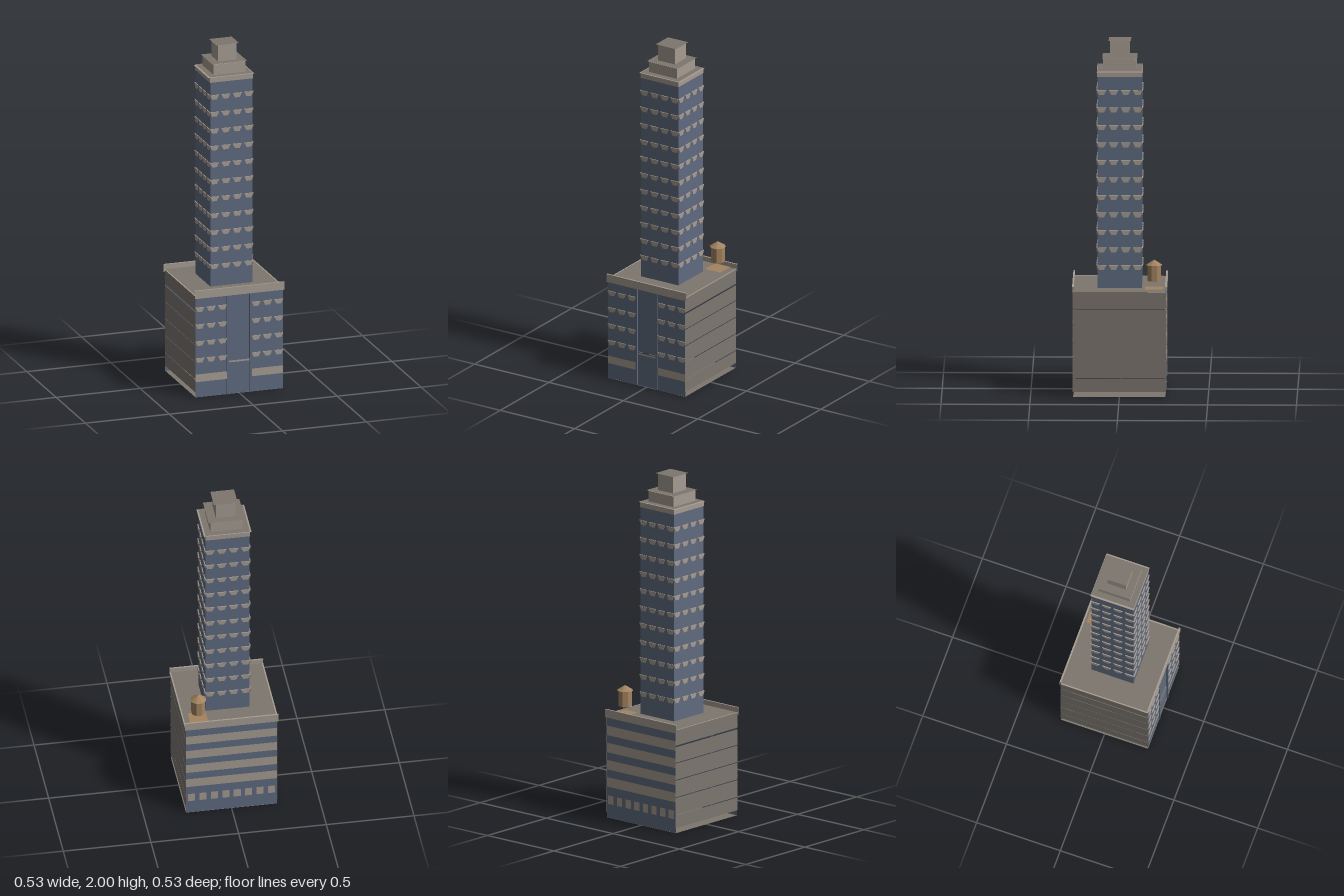
import * as THREE from 'three';

const mat = (name, color) => {
  const m = new THREE.MeshStandardMaterial({ color, side: THREE.DoubleSide });
  m.name = name;
  return m;
};

export function createModel() {
  const blue = mat('blueWall', 0x5f6b80);
  const trim = mat('paleStone', 0xa69c92);
  const gray = mat('grayStone', 0x7d766f);
  const wood = mat('tankWood', 0xa38360);
  const model = new THREE.Group();
  model.name = 'skyscraper';

  const add = (parent, name, geo, m, x = 0, y = 0, z = 0) => {
    const mesh = new THREE.Mesh(geo, m);
    mesh.name = name;
    mesh.position.set(x, y, z);
    parent.add(mesh);
    return mesh;
  };
  // upright sheet spanning x0..x1, y0..y1 at depth z
  const sheet = (parent, name, m, x0, x1, y0, y1, z) =>
    add(parent, name, new THREE.PlaneGeometry(x1 - x0, y1 - y0), m, (x0 + x1) / 2, (y0 + y1) / 2, z);
  // level sheet facing up
  const level = (parent, name, m, w, d, x, y, z) =>
    add(parent, name, new THREE.PlaneGeometry(w, d).rotateX(-Math.PI / 2), m, x, y, z);
  const side = (name, turn) => {
    const g = new THREE.Group();
    g.name = name;
    g.rotation.y = turn;
    model.add(g);
    return g;
  };

  // window hood: a shallow half-hexagon, hung from its top edge
  const hoodShape = new THREE.Shape([
    new THREE.Vector2(-0.027, 0), new THREE.Vector2(-0.014, -0.026),
    new THREE.Vector2(0.014, -0.026), new THREE.Vector2(0.027, 0),
  ]);
  const hoodGeo = new THREE.ExtrudeGeometry(hoodShape, { depth: 0.005, bevelEnabled: false });
  const hood = (parent, x, y, z) => add(parent, 'windowHood', hoodGeo, trim, x, y, z);

  // podium front
  const front = side('podiumFront', 0);
  for (const s of [-1, 1]) {
    const a = s * 0.07, b = s * 0.26;
    sheet(front, 'frontWall', blue, Math.min(a, b), Math.max(a, b), 0, 0.585, 0.258);
    sheet(front, 'frontBand', trim, Math.min(a, b), Math.max(a, b), 0.09, 0.135, 0.26);
    add(front, 'pilaster', new THREE.BoxGeometry(0.012, 0.585, 0.012), blue, s * 0.068, 0.2925, 0.258);
    for (const x of [0.1, 0.168, 0.235])
      for (let r = 0; r < 4; r++) hood(front, s * x, 0.53 - r * 0.1, 0.258);
  }
  sheet(front, 'entranceBay', blue, -0.07, 0.07, 0.2, 0.585, 0.25);
  sheet(front, 'door', blue, -0.062, 0.062, 0, 0.2, 0.256);
  sheet(front, 'doorLintel', trim, -0.062, 0.062, 0.186, 0.196, 0.259);

  // podium back with stone stripes and ground-floor blocks
  const back = side('podiumBack', Math.PI);
  sheet(back, 'backWall', blue, -0.26, 0.26, 0, 0.585, 0.258);
  for (let r = 0; r < 4; r++)
    sheet(back, 'backStripe', trim, -0.26, 0.26, 0.48 - r * 0.1, 0.535 - r * 0.1, 0.261);
  for (let i = 0; i < 8; i++) {
    const x = -0.228 + i * 0.065;
    sheet(back, 'backBlock', trim, x - 0.02, x + 0.02, 0.08, 0.13, 0.261);
  }

  // cornices over front and back
  for (const g of [front, back]) {
    sheet(g, 'cornice', trim, -0.267, 0.267, 0.583, 0.63, 0.266);
    level(g, 'corniceTop', trim, 0.534, 0.01, 0, 0.63, 0.261);
  }

  // plain podium sides in courses with narrow joints
  for (const s of [-1, 1]) {
    const g = side('podiumSide', s * Math.PI / 2);
    const joints = [0.027, 0.105, 0.207, 0.308, 0.408, 0.508, 0.602];
    for (let i = 0; i < 6; i++)
      sheet(g, 'sideCourse', gray, -0.262, 0.262, joints[i] + 0.002, joints[i + 1] - (i === 4 ? 0.007 : 0.002), 0.26);
    level(g, 'sideCoping', trim, 0.52, 0.008, 0, 0.601, 0.263);
  }
  level(model, 'floor', gray, 0.52, 0.52, 0, 0, 0);
  level(model, 'podiumRoof', gray, 0.52, 0.52, 0, 0.6, 0);
  level(model, 'roofHatch', gray, 0.038, 0.038, 0, 0.604, 0.19);

  // tower shaft with hoods on four sides
  add(model, 'towerShaft', new THREE.BoxGeometry(0.25, 1.21, 0.25), blue, 0, 1.205, 0);
  for (let k = 0; k < 4; k++) {
    const g = side('towerFace', k * Math.PI / 2);
    for (let r = 0; r < 11; r++)
      for (let c = 0; c < 4; c++) hood(g, -0.102 + c * 0.068, 1.73 - r * 0.1, 0.126);
    sheet(g, 'towerCornice', trim, -0.128, 0.128, 1.805, 1.834, 0.128);
  }
  level(model, 'towerCorniceTop', trim, 0.272, 0.258, 0, 1.834, 0);
  level(model, 'towerRoof', gray, 0.254, 0.254, 0, 1.837, 0);

  // stepped crown
  add(model, 'lowerCrown', new THREE.BoxGeometry(0.188, 0.063, 0.188), trim, 0, 1.867, 0);
  level(model, 'lowerCrownCap', gray, 0.208, 0.196, 0, 1.902, 0);
  add(model, 'upperCrown', new THREE.BoxGeometry(0.112, 0.095, 0.112), trim, 0, 1.95, 0);
  level(model, 'upperCrownCap', gray, 0.136, 0.126, 0, 2.0, 0);

  // water tank
  const tank = new THREE.Group();
  tank.name = 'waterTank';
  tank.position.set(0.18, 0, -0.195);
  model.add(tank);
  level(tank, 'tankPlatform', wood, 0.102, 0.102, 0, 0.61, 0);
  const turn = Math.PI / 8;
  add(tank, 'tankBody', new THREE.CylinderGeometry(0.04, 0.04, 0.09, 8).toNonIndexed(), wood, 0, 0.697, 0).rotation.y = turn;
  add(tank, 'tankRoof', new THREE.ConeGeometry(0.047, 0.03, 8).toNonIndexed(), wood, 0, 0.757, 0).rotation.y = turn;
  tank.children.forEach((m) => m.geometry.computeVertexNormals());
  return model;
}
